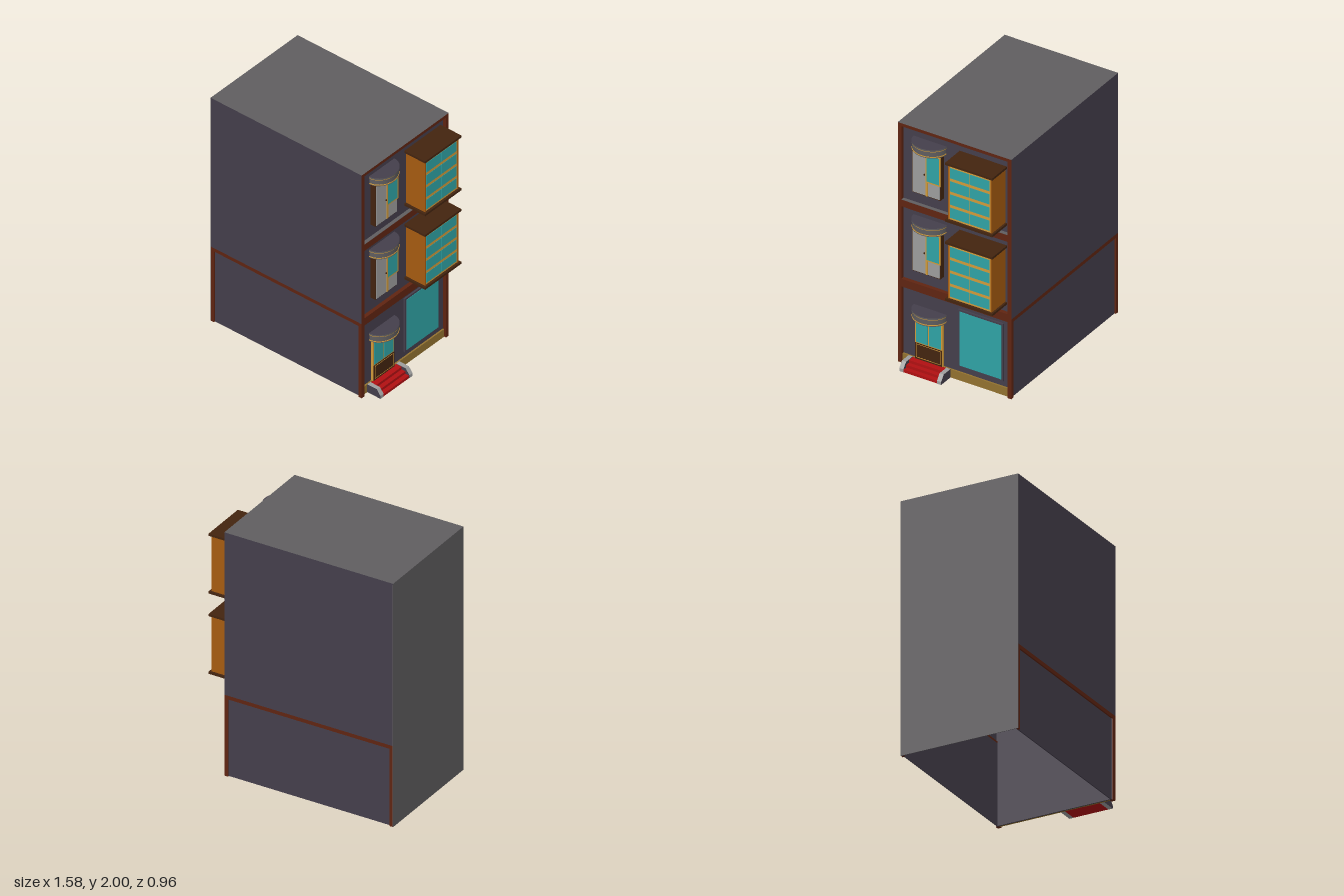
import * as THREE from 'three';

const mat = (name, color) => {
  const m = new THREE.MeshStandardMaterial({ color });
  m.name = name;
  return m;
};

export function createModel() {
  const wall = mat('slate wall', 0x443e4b);
  const grey = mat('roof grey', 0x5f5d5f);
  const trim = mat('red brown trim', 0x5f2411);
  const dark = mat('dark wood', 0x43240f);
  const orange = mat('orange wood', 0xa65b10);
  const gold = mat('gold frame', 0xd09a3a);
  const pale = mat('pale grey', 0x9c9c9c);
  const glass = mat('teal glass', 0x2fa2a4);
  const red = mat('red steps', 0xb01012);
  const tan = mat('tan plinth', 0x92712f);

  const model = new THREE.Group();
  model.name = 'townhouse';

  // Box given by its limits on each axis
  function box(parent, name, material, [x0, x1], [y0, y1], [z0, z1]) {
    const mesh = new THREE.Mesh(new THREE.BoxGeometry(x1 - x0, y1 - y0, z1 - z0), material);
    mesh.position.set((x0 + x1) / 2, (y0 + y1) / 2, (z0 + z1) / 2);
    mesh.name = name;
    parent.add(mesh);
    return mesh;
  }
  function group(name, y = 0) {
    const g = new THREE.Group();
    g.name = name;
    g.position.y = y;
    model.add(g);
    return g;
  }

  // Hollow shell, open underneath
  const shell = group('shell');
  box(shell, 'roof', [trim, grey, grey, grey, wall, wall], [-0.79, 0.62], [1.99, 2], [-0.48, 0.48]);
  box(shell, 'endWall', grey, [-0.79, -0.785], [0, 1.99], [-0.48, 0.48]);
  box(shell, 'facadeWall', wall, [0.58, 0.59], [0, 1.99], [-0.47, 0.47]);
  for (const s of [1, -1]) {
    const zr = (a, b) => (s > 0 ? [a, b] : [-b, -a]);
    box(shell, 'upperSideWall', wall, [-0.785, 0.59], [0.665, 1.99], zr(0.47, 0.48));
    box(shell, 'lowerSideWall', wall, [-0.785, 0.59], [0, 0.65], zr(0.46, 0.468));
    // Trim around the lower side wall
    box(shell, 'sideBeam', trim, [-0.785, 0.59], [0.635, 0.665], zr(0.46, 0.48));
    box(shell, 'rearPost', trim, [-0.785, -0.76], [0, 0.635], zr(0.46, 0.48));
    // Facade corner post, wall coloured on its upper flank
    box(shell, 'cornerPostLower', trim, [0.59, 0.62], [0, 0.665], zr(0.45, 0.48));
    box(shell, 'cornerPostUpper', [trim, trim, trim, trim, s > 0 ? wall : trim, s > 0 ? trim : wall],
      [0.59, 0.62], [0.665, 1.99], zr(0.45, 0.48));
  }
  for (const y of [[0.635, 0.7], [1.305, 1.36], [1.975, 1.99]]) {
    box(shell, 'facadeBeam', trim, [0.59, 0.62], y, [-0.45, 0.45]);
  }
  box(shell, 'upperLedge', grey, [0.59, 0.619], [1.36, 1.362], [-0.45, 0.45]);
  box(shell, 'plinth', tan, [0.59, 0.603], [0, 0.068], [-0.45, 0.45]);

  // Half-round canopies with gold rims
  function halfDisc(parent, name, material, rx, rz, y0, y1) {
    const geo = new THREE.CylinderGeometry(1, 1, y1 - y0, 24, 1, false, 0, Math.PI);
    geo.scale(rx, 1, rz);
    const mesh = new THREE.Mesh(geo, material);
    mesh.position.set(0.59, (y0 + y1) / 2, 0.225);
    mesh.name = name;
    parent.add(mesh);
  }
  for (const y of [0.43, 1.18, 1.837]) {
    const canopy = group('canopy', y);
    halfDisc(canopy, 'canopyBody', [grey, wall, wall], 0.115, 0.135, 0, 0.07);
    halfDisc(canopy, 'lowerRim', gold, 0.118, 0.138, 0.008, 0.014);
    halfDisc(canopy, 'upperRim', gold, 0.118, 0.138, 0.054, 0.06);
    halfDisc(canopy, 'canopyCap', [grey, wall, wall], 0.121, 0.14, 0.06, 0.072);
  }

  // Balcony doors on the two upper floors
  for (const y of [0.815, 1.471]) {
    const door = group('upperDoor', y);
    box(door, 'doorCase', dark, [0.59, 0.637], [0, 0.362], [0.108, 0.35]);
    box(door, 'widePanel', pale, [0.637, 0.642], [0.007, 0.355], [0.233, 0.343]);
    box(door, 'narrowPanel', pale, [0.637, 0.642], [0.007, 0.118], [0.114, 0.21]);
    box(door, 'middleStile', gold, [0.637, 0.643], [0.004, 0.362], [0.213, 0.23]);
    box(door, 'paneFrame', gold, [0.637, 0.645], [0.12, 0.362], [0.105, 0.23]);
    box(door, 'pane', glass, [0.645, 0.647], [0.132, 0.352], [0.116, 0.22]);
    box(door, 'handle', dark, [0.642, 0.65], [0.175, 0.187], [0.236, 0.242]);
  }

  // Entrance with two leaves
  const entrance = group('entrance');
  box(entrance, 'doorFrame', gold, [0.59, 0.61], [0.068, 0.43], [0.11, 0.342]);
  box(entrance, 'lowerPanel', dark, [0.61, 0.614], [0.07, 0.202], [0.112, 0.338]);
  for (const z of [0.12, 0.232]) {
    box(entrance, 'leafGlass', glass, [0.61, 0.613], [0.21, 0.418], [z, z + 0.1]);
  }
  for (const y of [0.083, 0.192]) {
    box(entrance, 'panelBead', gold, [0.614, 0.616], [y, y + 0.003], [0.125, 0.325]);
  }
  for (const z of [0.122, 0.325]) {
    box(entrance, 'panelBead', gold, [0.614, 0.616], [0.083, 0.195], [z, z + 0.003]);
  }

  // Shop window
  const shop = group('shopWindow');
  box(shop, 'shopFrame', wall, [0.59, 0.604], [0.112, 0.592], [-0.4, -0.018]);
  box(shop, 'shopGlass', glass, [0.604, 0.607], [0.127, 0.577], [-0.385, -0.034]);

  // Bay windows
  for (const y of [0.76, 1.42]) {
    const bay = group('bayWindow', y);
    box(bay, 'bayBox', orange, [0.59, 0.762], [0.018, 0.474], [-0.41, -0.042]);
    box(bay, 'baySill', dark, [0.59, 0.785], [0, 0.018], [-0.425, -0.025]);
    box(bay, 'bayTop', dark, [0.59, 0.785], [0.474, 0.492], [-0.425, -0.025]);
    for (const z of [-0.41, -0.052]) {
      box(bay, 'bayBorder', orange, [0.762, 0.77], [0.018, 0.474], [z, z + 0.01]);
    }
    box(bay, 'lattice', gold, [0.762, 0.767], [0.02, 0.472], [-0.4, -0.052]);
    for (let row = 0; row < 4; row++) {
      const y0 = 0.035 + row * 0.11;
      for (const z of [-0.392, -0.222]) {
        box(bay, 'bayPane', glass, [0.767, 0.769], [y0, y0 + 0.085], [z, z + 0.164]);
      }
    }
  }

  // Front steps between sloping cheeks
  const steps = group('steps');
  for (let i = 0; i < 3; i++) {
    box(steps, 'step', red, [0.6, 0.725 - i * 0.035], [i * 0.022, (i + 1) * 0.022], [0.08, 0.366]);
  }
  const profile = new THREE.Shape([[0.603, 0], [0.727, 0], [0.727, 0.025], [0.692, 0.07], [0.603, 0.07]]
    .map(([x, y]) => new THREE.Vector2(x, y)));
  for (const z of [0.045, 0.364]) {
    const cheek = new THREE.Mesh(
      new THREE.ExtrudeGeometry(profile, { depth: 0.035, bevelEnabled: false }), [wall, pale]);
    cheek.position.z = z;
    cheek.name = 'stepCheek';
    steps.add(cheek);
  }

  return model;
}
